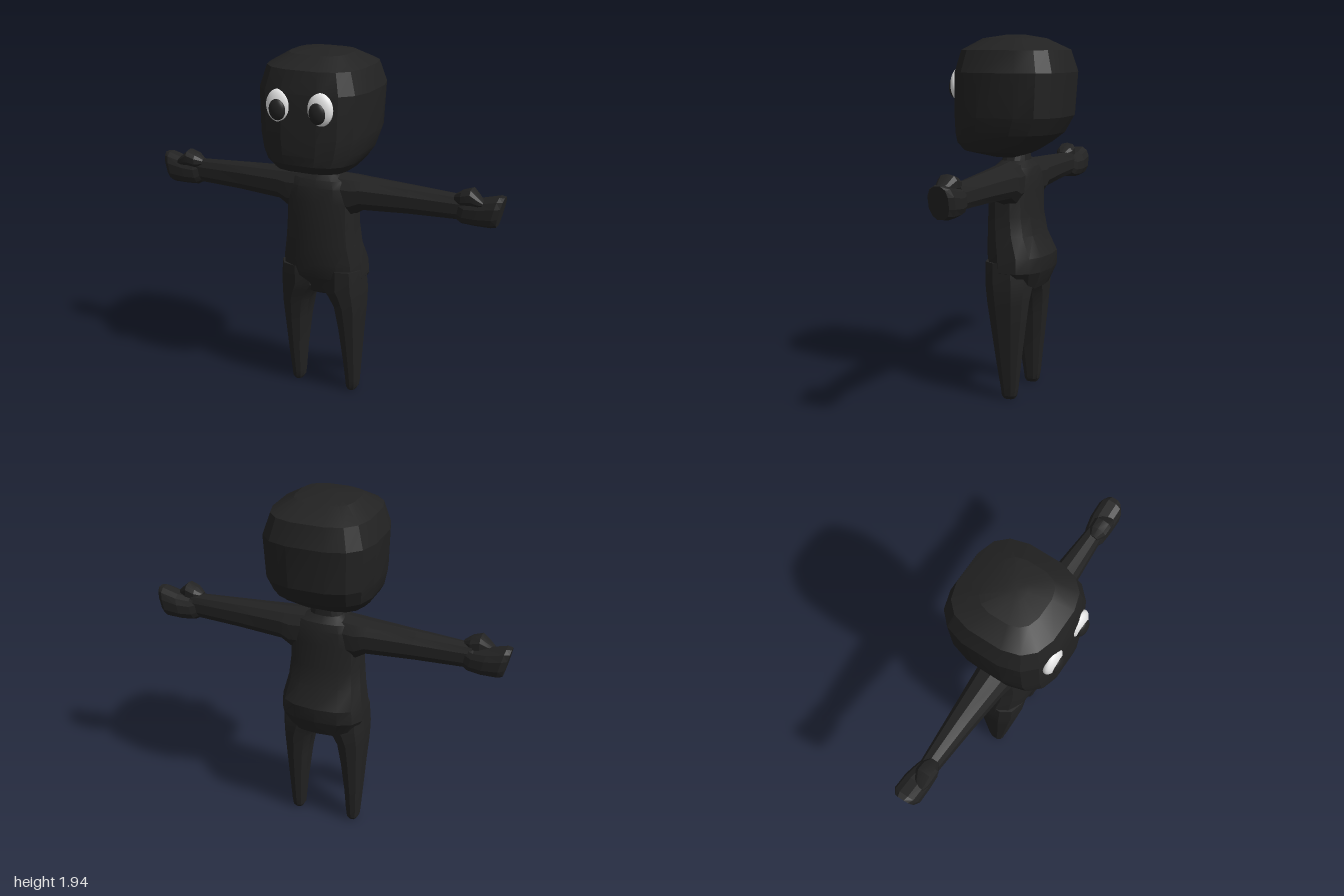
import * as THREE from 'three';
import { toCreasedNormals } from 'three/addons/utils/BufferGeometryUtils.js';

const spow = (v, e) => Math.sign(v) * Math.pow(Math.abs(v), e);

// Loft through superellipse rings [t, aMin, aMax, bMin, bMax].
// Upright: t = y, a = x, b = z. Sideways: t = x, a = z, b = y.
function loft(rings, { sides = 12, power = 2.5, sideways = false, crease = 0.4 } = {}) {
  const pos = [], index = [];
  const put = (t, a, b) => (sideways ? pos.push(t, b, a) : pos.push(a, t, b));
  for (const [t, a0, a1, b0, b1] of rings) {
    for (let j = 0; j < sides; j++) {
      const ang = ((j + 0.5) / sides) * Math.PI * 2;
      // scale so that the half-step start still reaches the full extents
      const reach = Math.pow(Math.cos(Math.PI / sides), 2 / power);
      put(t, (a0 + a1) / 2 + ((a1 - a0) / 2) * spow(Math.cos(ang), 2 / power) / reach,
        (b0 + b1) / 2 + ((b1 - b0) / 2) * spow(Math.sin(ang), 2 / power) / reach);
    }
  }
  const last = rings.length - 1, bottom = rings.length * sides, top = bottom + 1;
  for (const [t, a0, a1, b0, b1] of [rings[0], rings[last]]) put(t, (a0 + a1) / 2, (b0 + b1) / 2);
  for (let j = 0; j < sides; j++) {
    const k = (j + 1) % sides;
    for (let i = 0; i < last; i++) {
      const p = i * sides, q = p + sides;
      index.push(p + j, q + j, p + k, q + j, q + k, p + k);
    }
    index.push(bottom, j, k, top, last * sides + k, last * sides + j);
  }
  const geo = new THREE.BufferGeometry();
  geo.setAttribute('position', new THREE.Float32BufferAttribute(pos, 3));
  geo.setIndex(index);
  return toCreasedNormals(geo, crease);
}

// Mirror ring lists across x = 0
const mirrorSideways = (rings, s) => (s > 0 ? rings : rings.map(([t, ...r]) => [-t, ...r]).reverse());
const mirrorUpright = (rings, s) => (s > 0 ? rings : rings.map(([t, a0, a1, ...r]) => [t, -a1, -a0, ...r]));

const HEAD = [
  [1.30, -0.09, 0.09, -0.05, 0.10],
  [1.335, -0.20, 0.20, -0.12, 0.25],
  [1.38, -0.24, 0.24, -0.19, 0.285],
  [1.43, -0.268, 0.268, -0.255, 0.29],
  [1.52, -0.29, 0.29, -0.305, 0.29],
  [1.75, -0.30, 0.30, -0.32, 0.285],
  [1.865, -0.262, 0.262, -0.285, 0.255],
  [1.925, -0.16, 0.16, -0.16, 0.15],
  [1.943, -0.05, 0.05, -0.06, 0.04],
];
const TORSO = [
  [0.585, -0.10, 0.10, -0.13, 0.03],
  [0.605, -0.18, 0.18, -0.17, 0.06],
  [0.70, -0.235, 0.235, -0.21, 0.105],
  [0.78, -0.23, 0.23, -0.212, 0.115],
  [0.89, -0.208, 0.208, -0.16, 0.117],
  [1.0, -0.198, 0.198, -0.14, 0.115],
  [1.13, -0.198, 0.198, -0.137, 0.11],
  [1.21, -0.19, 0.19, -0.128, 0.10],
  [1.25, -0.16, 0.16, -0.115, 0.085],
  [1.283, -0.09, 0.09, -0.085, 0.055],
  [1.34, -0.07, 0.07, -0.08, 0.045],
];
const LEG = [
  [0.0, 0.145, 0.188, -0.07, -0.01],
  [0.02, 0.134, 0.2, -0.083, 0.0],
  [0.06, 0.13, 0.205, -0.09, 0.005],
  [0.2, 0.12, 0.214, -0.105, 0.03],
  [0.4, 0.098, 0.227, -0.128, 0.062],
  [0.53, 0.075, 0.237, -0.142, 0.083],
  [0.59, 0.04, 0.239, -0.148, 0.092],
  [0.64, 0.0, 0.239, -0.15, 0.1],
  [0.75, 0.01, 0.23, -0.14, 0.1],
];
const ARM = [
  [0.08, -0.11, 0.08, 1.06, 1.278],
  [0.185, -0.118, 0.075, 1.06, 1.273],
  [0.24, -0.112, 0.068, 1.095, 1.268],
  [0.5, -0.092, 0.043, 1.108, 1.257],
  [0.8, -0.07, 0.02, 1.115, 1.243],
];
const FIST = [
  [0.76, -0.07, 0.02, 1.12, 1.235],
  [0.80, -0.085, 0.033, 1.10, 1.228],
  [0.87, -0.10, 0.037, 1.095, 1.238],
  [0.955, -0.10, 0.038, 1.095, 1.262],
  [0.982, -0.08, 0.02, 1.10, 1.26],
];
const THUMB = [
  [0.745, -0.03, 0.015, 1.215, 1.25],
  [0.785, -0.055, 0.043, 1.20, 1.278],
  [0.835, -0.055, 0.046, 1.205, 1.296],
  [0.875, -0.035, 0.04, 1.205, 1.26],
  [0.90, -0.01, 0.03, 1.21, 1.235],
];

export function createModel() {
  const skin = new THREE.MeshStandardMaterial({ color: 0x222222 });
  skin.name = 'charcoal';
  const eyeWhite = new THREE.MeshStandardMaterial({ color: 0xf4f4f4 });
  eyeWhite.name = 'eye white';

  const model = new THREE.Group();
  model.name = 'figure';
  const add = (name, geometry, material = skin) => {
    const mesh = new THREE.Mesh(geometry, material);
    mesh.name = name;
    model.add(mesh);
    return mesh;
  };
  const ellipsoid = (name, material, centre, radii) => {
    const mesh = add(name, new THREE.SphereGeometry(1, 28, 18), material);
    mesh.position.set(...centre);
    mesh.scale.set(...radii);
  };

  add('head', loft(HEAD, { sides: 16, power: 3, crease: 0.3 }));
  add('torso', loft(TORSO, { sides: 14, power: 2.6 }));

  for (const s of [1, -1]) {
    const side = s > 0 ? 'left' : 'right';
    add(side + 'Leg', loft(mirrorUpright(LEG, s), { sides: 10 }));

    // Arm, fist with a slanted knuckle face, and thumb
    const sideways = { sideways: true, sides: 10 };
    add(side + 'Arm', loft(mirrorSideways(ARM, s), sideways));
    const slant = 0.23 * s;
    const fist = loft(mirrorSideways(FIST, s), { ...sideways, sides: 12 });
    fist.applyMatrix4(new THREE.Matrix4().makeShear(0, 0, slant, 0, 0, 0));
    fist.translate(-slant * 1.18, 0, 0);
    fist.computeVertexNormals();
    add(side + 'Fist', fist);
    add(side + 'Thumb', loft(mirrorSideways(THUMB, s), sideways));

    // Eye and pupil
    ellipsoid(side + 'Eye', eyeWhite, [0.116 * s, 1.682, 0.272], [0.07, 0.086, 0.037]);
    ellipsoid(side + 'Pupil', skin, [0.112 * s, 1.667, 0.298], [0.046, 0.056, 0.026]);
  }
  return model;
}
